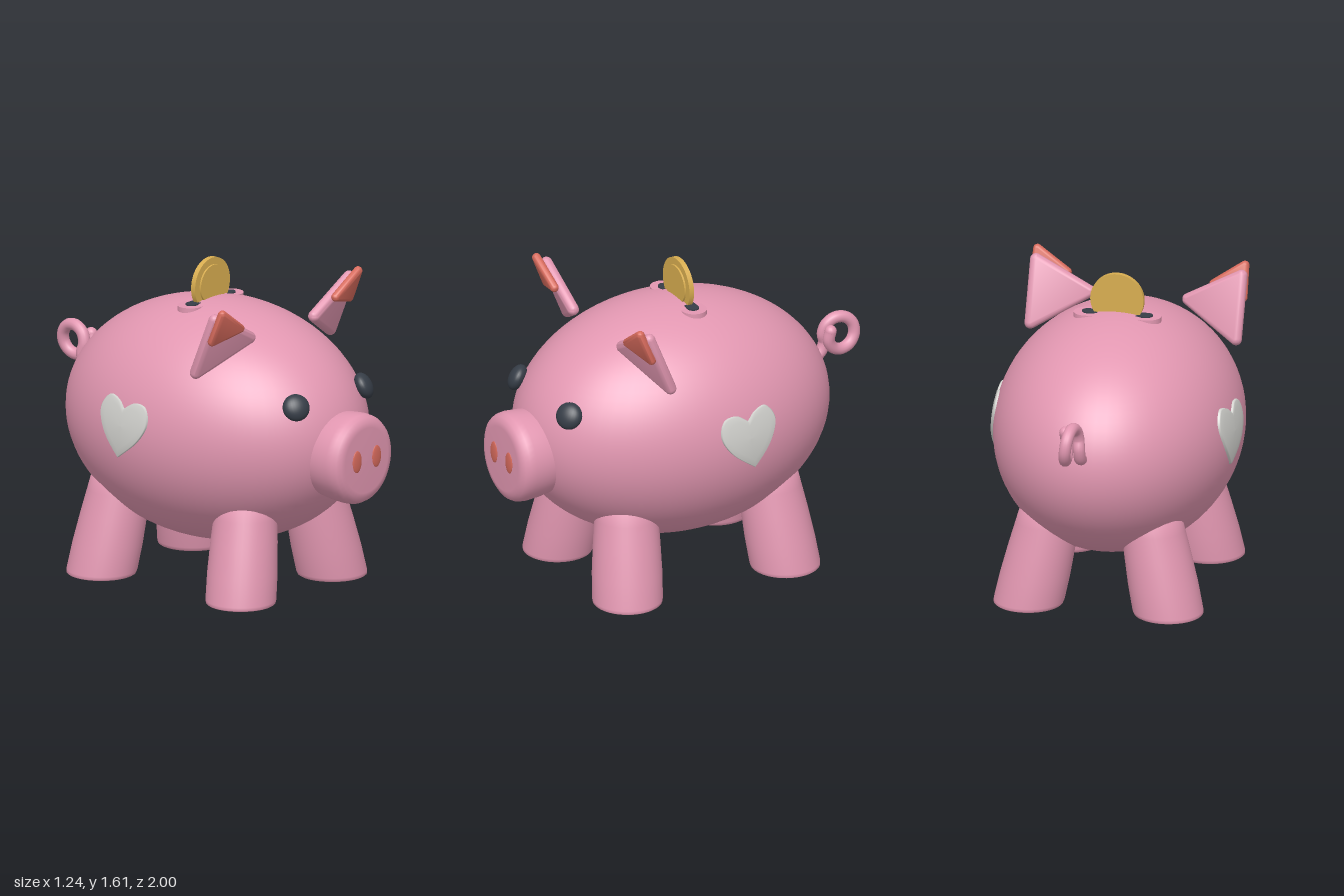
import * as THREE from 'three';
import { toCreasedNormals } from 'three/addons/utils/BufferGeometryUtils.js';
import { ConvexGeometry } from 'three/addons/geometries/ConvexGeometry.js';

const V3 = (x, y, z) => new THREE.Vector3(x, y, z);
const V2 = (x, y) => new THREE.Vector2(x, y);
const material = (name, color) => {
  const m = new THREE.MeshStandardMaterial({ color });
  m.name = name;
  return m;
};

// Body ellipsoid, shared by everything that sits on its surface
const CENTRE = V3(0, 0.805, 0.045), RADII = V3(0.61, 0.605, 0.83);
const bodyX = (y, z) => RADII.x * Math.sqrt(
  1 - ((y - CENTRE.y) / RADII.y) ** 2 - ((z - CENTRE.z) / RADII.z) ** 2);

// Rounded triangular plate: hull of three equal balls
function roundedTriangle(corners, r) {
  const points = [];
  for (const c of corners) {
    const ball = new THREE.SphereGeometry(r, 14, 10).getAttribute('position');
    for (let i = 0; i < ball.count; i++) {
      points.push(new THREE.Vector3().fromBufferAttribute(ball, i).add(c));
    }
  }
  return toCreasedNormals(new ConvexGeometry(points), 0.7);
}

// Horizontal stadium-shaped slab reaching up to height top
function stadium(halfLength, halfWidth, top, depth) {
  const s = new THREE.Shape(), e = halfLength - halfWidth;
  s.absarc(e, 0, halfWidth, -Math.PI / 2, Math.PI / 2);
  s.absarc(-e, 0, halfWidth, Math.PI / 2, Math.PI * 1.5);
  return new THREE.ExtrudeGeometry(s, { depth, bevelEnabled: false, curveSegments: 20 })
    .rotateX(-Math.PI / 2).translate(0, top - depth, 0);
}

// Heart patch: concentric loops wrapped onto the body flank
function heartPatch(side) {
  const front = new THREE.SplineCurve([V2(-0.1, 0.692), V2(0.03, 0.79), V2(0.092, 0.885),
    V2(0.072, 0.968), V2(0, 0.983), V2(-0.065, 0.945)]).getPoints(30);
  const back = new THREE.SplineCurve([V2(-0.065, 0.945), V2(-0.11, 0.985), V2(-0.18, 0.995),
    V2(-0.228, 0.92), V2(-0.19, 0.81), V2(-0.1, 0.692)]).getPoints(30);
  const outline = [...front.slice(0, -1), ...back.slice(0, -1)];
  const loops = [[0, 0.012], [0.25, 0.012], [0.5, 0.012], [0.75, 0.012], [0.97, 0.012], [1, 0.008], [1, -0.01]];
  const pos = [], index = [], n = outline.length, mid = V2(-0.07, 0.86);
  for (const [t, lift] of loops) {
    for (const p of outline) {
      const q = mid.clone().lerp(p, t);
      pos.push(side * (bodyX(q.y, q.x) + lift), q.y, q.x);
    }
  }
  for (let k = 0; k < loops.length - 1; k++) {
    for (let i = 0; i < n; i++) {
      const a = k * n + i, b = k * n + (i + 1) % n, c = a + n, d = b + n;
      if (side > 0) index.push(a, d, c, a, b, d);
      else index.push(a, c, d, a, d, b);
    }
  }
  const g = new THREE.BufferGeometry();
  g.setAttribute('position', new THREE.Float32BufferAttribute(pos, 3));
  g.setIndex(index);
  g.computeVertexNormals();
  return g;
}

export function createModel() {
  const model = new THREE.Group();
  model.name = 'piggyBank';
  const pink = material('pink skin', 0xe297b1);
  const coral = material('coral', 0xd66a5c);
  const gold = material('gold', 0xd8ad50);
  const dark = material('dark slate', 0x363d47);
  const grey = material('pale grey', 0xd2d2ce);
  grey.side = THREE.DoubleSide;

  const add = (name, geometry, mat) => {
    const mesh = new THREE.Mesh(geometry, mat);
    mesh.name = name;
    model.add(mesh);
    return mesh;
  };

  // Body
  add('body', new THREE.SphereGeometry(1, 64, 48)
    .scale(RADII.x, RADII.y, RADII.z).translate(0, CENTRE.y, CENTRE.z), pink);

  // Snout
  const snout = [[0.2, 0.7], [0.215, 0.8], [0.223, 0.85], [0.228, 0.92], [0.224, 0.955],
    [0.212, 0.977], [0.19, 0.991], [0.165, 0.996], [0, 0.998]].map(p => V2(...p));
  add('snout', new THREE.LatheGeometry(snout, 48).rotateX(Math.PI / 2).translate(0, 0.742, 0), pink);

  // Leg profile, sheared so that the feet splay outwards
  const leg = [[0, 0], [0.166, 0], [0.172, 0.004], [0.175, 0.02], [0.174, 0.15], [0.166, 0.3],
    [0.157, 0.42], [0.148, 0.55], [0, 0.57]].map(p => V2(...p));

  for (const side of [1, -1]) {
    const label = side > 0 ? 'left' : 'right';

    add(label + 'Nostril', new THREE.SphereGeometry(1, 24, 16)
      .scale(0.034, 0.056, 0.008).translate(side * 0.075, 0.75, 0.997), coral);

    // Eye, a flattened ball facing along the body normal
    const normal = V3(side * 0.51, 0.45, 0.73).normalize();
    const eye = add(label + 'Eye', new THREE.SphereGeometry(1, 28, 20).scale(0.068, 0.068, 0.042), dark);
    eye.quaternion.setFromUnitVectors(V3(0, 0, 1), normal);
    eye.position.set(side * 0.262, 1.027, 0.762);

    // Ear with coral tip in front
    add(label + 'Ear', roundedTriangle([V3(side * 0.52, 1.185, 0.335),
      V3(side * 0.25, 1.33, 0.455), V3(side * 0.52, 1.475, 0.455)], 0.03), pink);
    add(label + 'EarTip', roundedTriangle([V3(side * 0.53, 1.365, 0.447),
      V3(side * 0.37, 1.408, 0.493), V3(side * 0.525, 1.513, 0.508)], 0.022), coral);

    // Legs
    for (const [part, z, lean] of [['FrontLeg', 0.485, -0.1], ['BackLeg', -0.405, 0.1]]) {
      const shear = new THREE.Matrix4().set(
        1, -0.21 * side, 0, 0.355 * side,
        0, 1, 0, 0,
        0, lean, 1, z,
        0, 0, 0, 1);
      add(label + part, new THREE.LatheGeometry(leg, 40).applyMatrix4(shear), pink);
    }

    add(label + 'HeartPatch', heartPatch(side), grey);
  }

  // Coin slot and its lip
  add('slotLip', stadium(0.22, 0.065, 1.394, 0.06), pink);
  add('slot', stadium(0.178, 0.03, 1.4, 0.05), dark);

  // Coin with raised front face
  add('coin', new THREE.CylinderGeometry(0.135, 0.135, 0.026, 56)
    .rotateX(Math.PI / 2).translate(0, 1.47, 0), gold);
  add('coinFace', new THREE.CylinderGeometry(0.1, 0.1, 0.01, 48)
    .rotateX(Math.PI / 2).translate(0, 1.47, 0.017), gold);

  // Curly tail
  const path = [V3(0, 0.9, -0.74), V3(0, 0.915, -0.795), V3(0, 0.97, -0.82)];
  for (let i = 0; i <= 10; i++) {
    const a = i / 10 * Math.PI * 2.15;
    path.push(V3(0.005 + 0.065 * i / 10, 1.02 + 0.08 * Math.sin(a), -0.89 + 0.08 * Math.cos(a)));
  }
  add('tail', new THREE.TubeGeometry(new THREE.CatmullRomCurve3(path), 90, 0.03, 14), pink);
  add('tailTip', new THREE.SphereGeometry(0.03, 16, 12).translate(...path[path.length - 1].toArray()), pink);

  return model;
}
